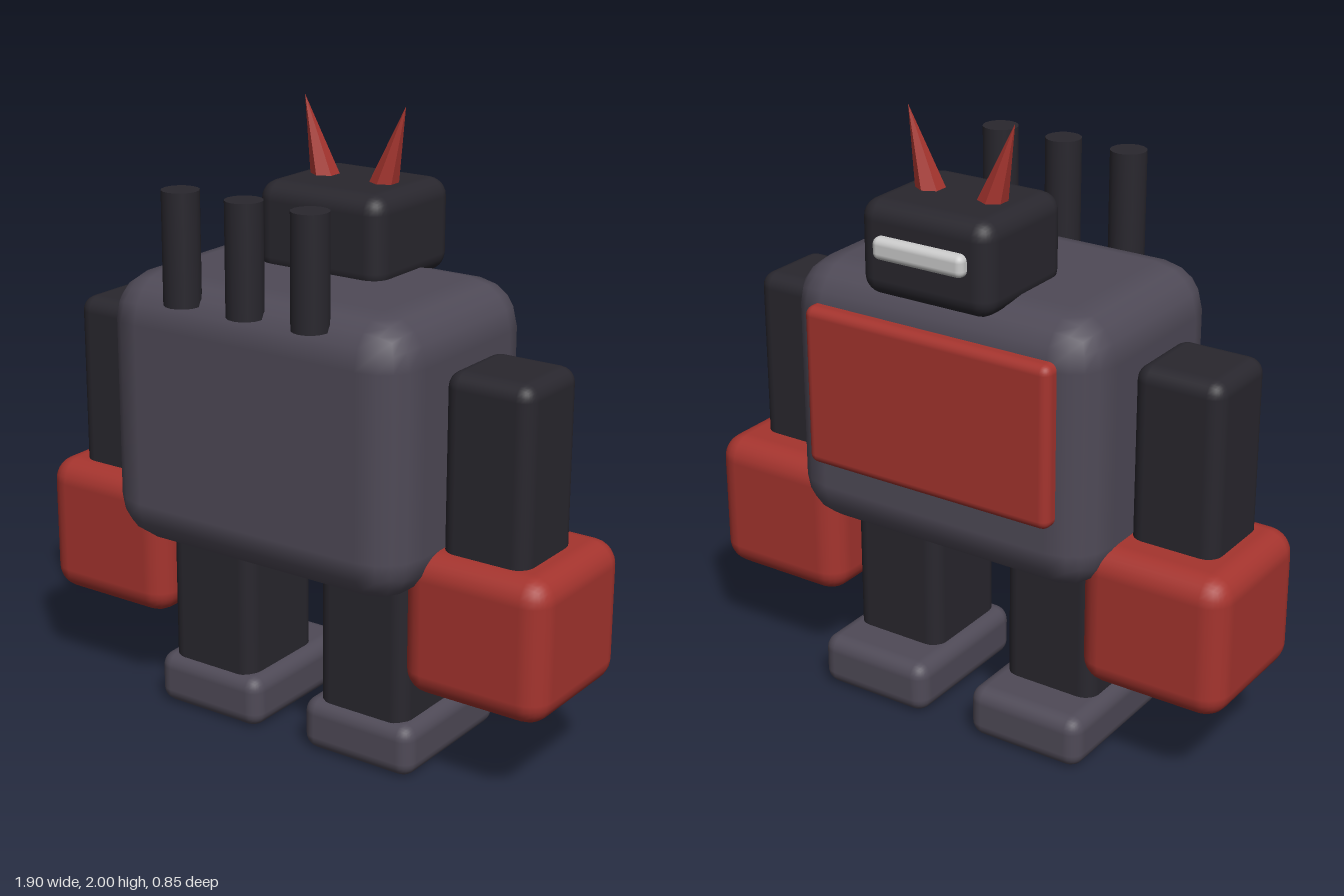
import * as THREE from 'three';
import { RoundedBoxGeometry } from 'three/addons/geometries/RoundedBoxGeometry.js';

const paint = (color) => new THREE.MeshStandardMaterial({ color });

export function createModel() {
  const model = new THREE.Group();
  const steel = paint(0x4f4a57);
  const dark = paint(0x29272e);
  const red = paint(0xa5342e);
  const light = paint(0xcccccc);

  const add = (name, geometry, material) => {
    const mesh = new THREE.Mesh(geometry, material);
    mesh.name = name;
    model.add(mesh);
    return mesh;
  };

  // Rounded box given by its [min, max] range on each axis
  const box = (name, x, y, z, radius, material, segments = 3) => {
    const size = [x, y, z].map(([a, b]) => b - a);
    const mesh = add(name, new RoundedBoxGeometry(...size, segments, radius), material);
    mesh.position.set(...[x, y, z].map(([a, b]) => (a + b) / 2));
    return mesh;
  };

  // Body, chest plate, head and visor
  box('torso', [-0.555, 0.555], [0.62, 1.5], [-0.365, 0.395], 0.15, steel, 2);
  box('chestPlate', [-0.44, 0.44], [0.86, 1.38], [-0.405, -0.325], 0.03, red);
  box('head', [-0.232, 0.232], [1.46, 1.757], [-0.395, 0.015], 0.06, dark);
  box('visor', [-0.16, 0.16], [1.59, 1.66], [-0.426, -0.366], 0.022, light);

  // Limbs, mirrored left and right
  for (const [side, s] of [['left', 1], ['right', -1]]) {
    const span = (a, b) => (s > 0 ? [a, b] : [-b, -a]);
    box(side + 'Arm', span(0.553, 0.848), [0.6, 1.322], [-0.13, 0.16], 0.05, dark);
    box(side + 'Fist', span(0.457, 0.95), [0.3, 0.765], [-0.265, 0.232], 0.08, red);
    box(side + 'Leg', span(0.13, 0.455), [0.1, 0.75], [-0.16, 0.192], 0.05, dark);
    box(side + 'Foot', span(0.087, 0.495), [0, 0.175], [-0.305, 0.22], 0.05, steel);

    // Six-sided horn leaning outwards
    const base = new THREE.Vector3(s * 0.1, 1.715, -0.19);
    const axis = new THREE.Vector3(s * 0.187, 1.997, -0.19).sub(base);
    const horn = add(side + 'Horn', new THREE.ConeGeometry(0.052, axis.length(), 6), red);
    horn.material = red.clone();
    horn.material.flatShading = true;
    horn.position.copy(base).addScaledVector(axis, 0.5);
    horn.rotation.z = -Math.atan2(axis.x, axis.y);
  }

  // Row of exhaust pipes on the back
  for (const x of [-0.235, 0, 0.235]) {
    add('exhaustPipe', new THREE.CylinderGeometry(0.058, 0.058, 0.35, 16), dark)
      .position.set(x, 1.615, 0.368);
  }

  return model;
}
